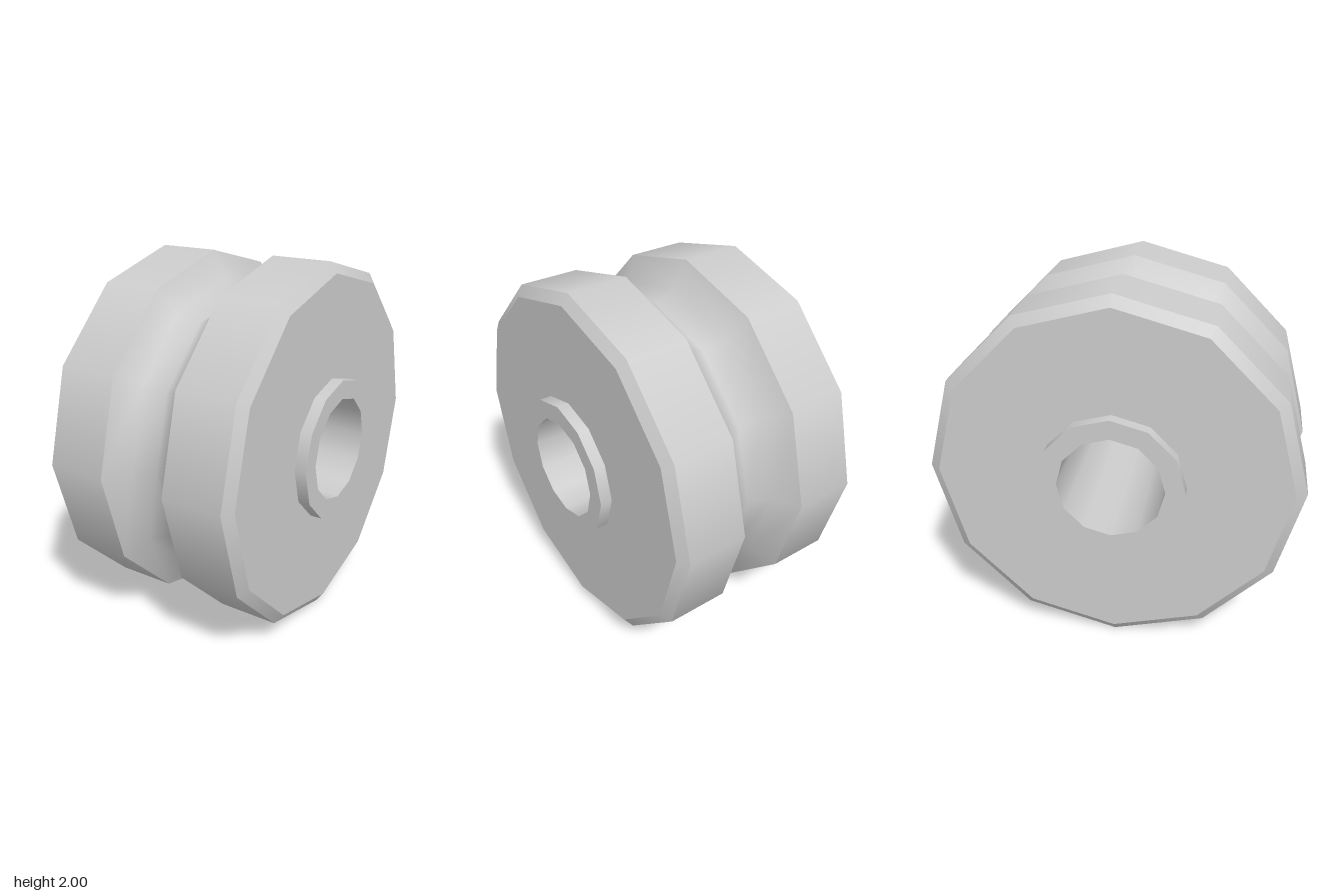
import * as THREE from 'three';

const SIDES = 12;

// Revolves one profile section of [x along axle, radius] points about the x axis.
// Sections run along +x on outer surfaces and along -x in the bore.
function ring(name, profile, material) {
  const points = profile.map(([x, r]) => new THREE.Vector2(r, x));
  const geometry = new THREE.LatheGeometry(points, SIDES);
  geometry.rotateZ(-Math.PI / 2);
  const mesh = new THREE.Mesh(geometry, material);
  mesh.name = name;
  return mesh;
}

export function createModel() {
  const model = new THREE.Group();
  model.name = 'groovedRoller';
  const grey = new THREE.MeshStandardMaterial({ color: 0xcccccc });
  grey.name = 'grey';

  const hubX = 0.63, faceX = 0.565, rimX = 0.525, grooveX = 0.19;
  const rimR = 1, faceR = 0.943, hubR = 0.39, boreR = 0.285;

  // Softly shaded V groove between the two rims
  model.add(ring('groove', [
    [-grooveX, rimR], [-0.11, 0.86], [0, 0.8], [0.11, 0.86], [grooveX, rimR],
  ], grey));

  // Sections of one half, separate so the edges between them stay sharp
  const half = {
    Rim: [[grooveX, rimR], [rimX, rimR]],
    Chamfer: [[rimX, rimR], [faceX, faceR]],
    SideFace: [[faceX, faceR], [faceX, hubR]],
    HubWall: [[faceX, hubR], [hubX, hubR]],
    HubFace: [[hubX, hubR], [hubX, boreR]],
  };
  for (const [part, profile] of Object.entries(half)) {
    const mirrored = profile.map(([x, r]) => [-x, r]).reverse();
    model.add(ring('left' + part, profile, grey));
    model.add(ring('right' + part, mirrored, grey));
  }

  // Through hole for the axle
  model.add(ring('bore', [[hubX, boreR], [-hubX, boreR]], grey));

  model.position.y = 1;
  return model;
}
